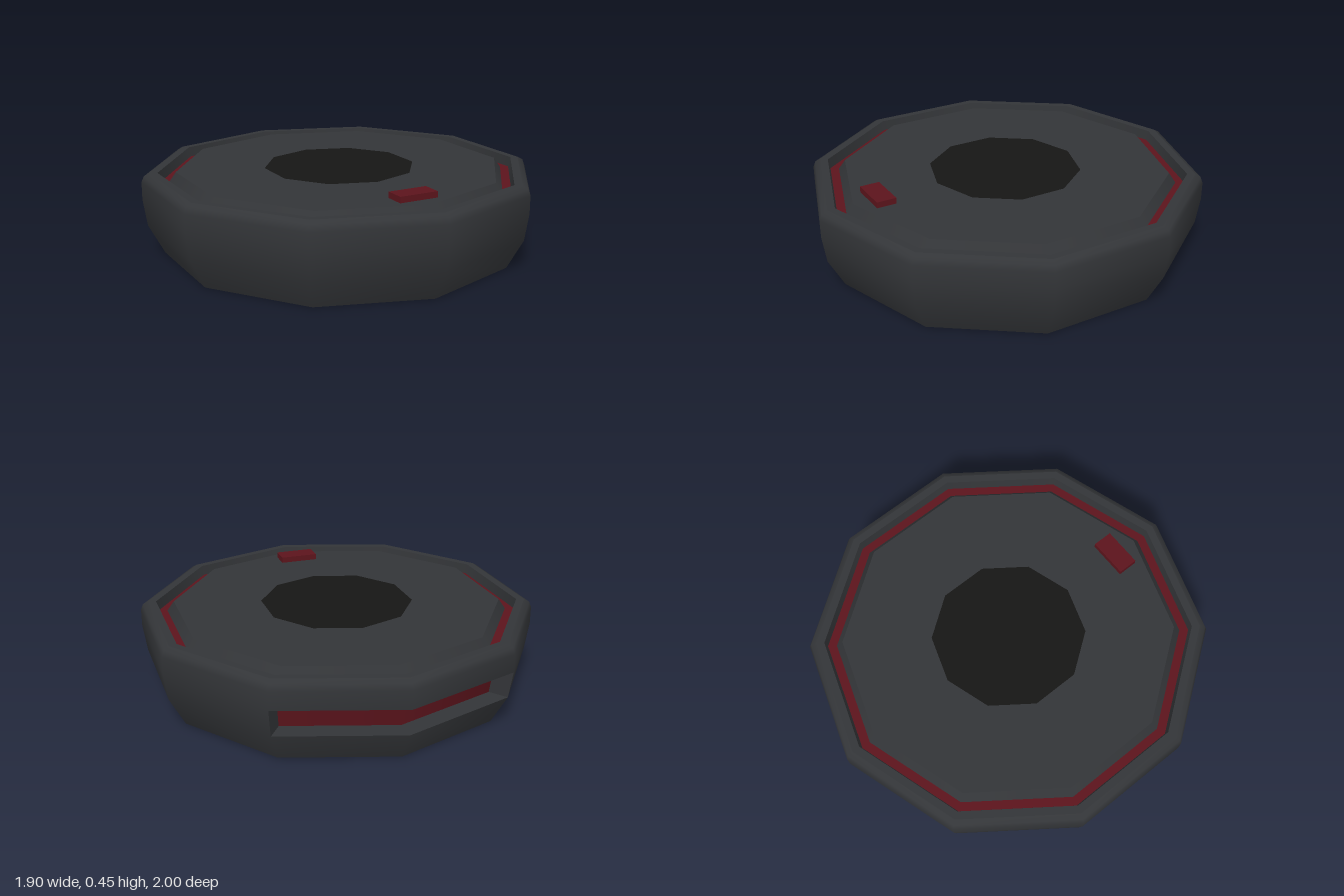
import * as THREE from 'three';

const SIDES = 10;
const SLOT_START = Math.PI * 0.8, SLOT_LENGTH = Math.PI * 0.4;

const mat = (color) => new THREE.MeshStandardMaterial({ color, side: THREE.DoubleSide });

export function createModel() {
  const model = new THREE.Group();
  const shell = mat(0x333538), red = mat(0x5c141c), black = mat(0x161615), under = mat(0x1c1d1e);

  const add = (name, geometry, material) => {
    const mesh = new THREE.Mesh(geometry, material);
    mesh.name = name;
    model.add(mesh);
    return mesh;
  };
  // ten-sided ring (or a part of one) swept from a profile of [radius, height]
  const sweep = (profile, segments = SIDES, start = 0, length = Math.PI * 2) =>
    new THREE.LatheGeometry(profile.map(([r, y]) => new THREE.Vector2(r, y)), segments, start, length);

  // outer wall with the two rear panels of its second band left open
  const wallProfile = [[0.9, 0], [0.98, 0.15], [1, 0.285], [1, 0.375], [0.988, 0.405], [0.96, 0.42]];
  const wall = sweep(wallProfile);
  const bands = wallProfile.length - 1;
  const kept = Array.from(wall.index.array).filter((_, k) => {
    const face = Math.floor(k / 6);
    const side = Math.floor(face / bands), band = face % bands;
    return !(band === 1 && (side === 4 || side === 5));
  });
  wall.setIndex(kept);
  add('outerWall', wall, shell);

  // underside and rim
  add('base', sweep([[0, 0], [0.9, 0]]), under);
  add('rimTop', sweep([[0.96, 0.42], [0.92, 0.42]]), shell);
  add('rimInnerWall', sweep([[0.92, 0.42], [0.91, 0.37]]), shell);

  // red channel between rim and deck
  add('channelFloor', sweep([[0.91, 0.37], [0.865, 0.37]]), red);

  // deck with chamfered edge and dark centre
  add('deckChamfer', sweep([[0.865, 0.37], [0.83, 0.42]]), shell);
  add('deck', sweep([[0.83, 0.42], [0.385, 0.42]]), shell);
  add('centrePanel', sweep([[0.385, 0.42], [0, 0.42]]), black);

  // rear slot
  const slotPart = (name, profile, material) =>
    add(name, sweep(profile, 2, SLOT_START, SLOT_LENGTH), material);
  slotPart('slotFloor', [[0.98, 0.15], [0.88, 0.15]], shell);
  slotPart('slotCeiling', [[0.9, 0.285], [1, 0.285]], shell);
  slotPart('slotBack', [[0.88, 0.15], [0.9, 0.285]], red);
  const endShape = new THREE.Shape(
    [[0.88, 0.15], [0.98, 0.15], [1, 0.285], [0.9, 0.285]].map(([x, y]) => new THREE.Vector2(x, y)));
  for (const angle of [SLOT_START, SLOT_START + SLOT_LENGTH]) {
    add('slotEnd', new THREE.ShapeGeometry(endShape), shell).rotation.y = angle - Math.PI / 2;
  }

  // front button
  add('button', new THREE.BoxGeometry(0.2, 0.05, 0.1), red).position.set(0, 0.425, 0.7);

  return model;
}
